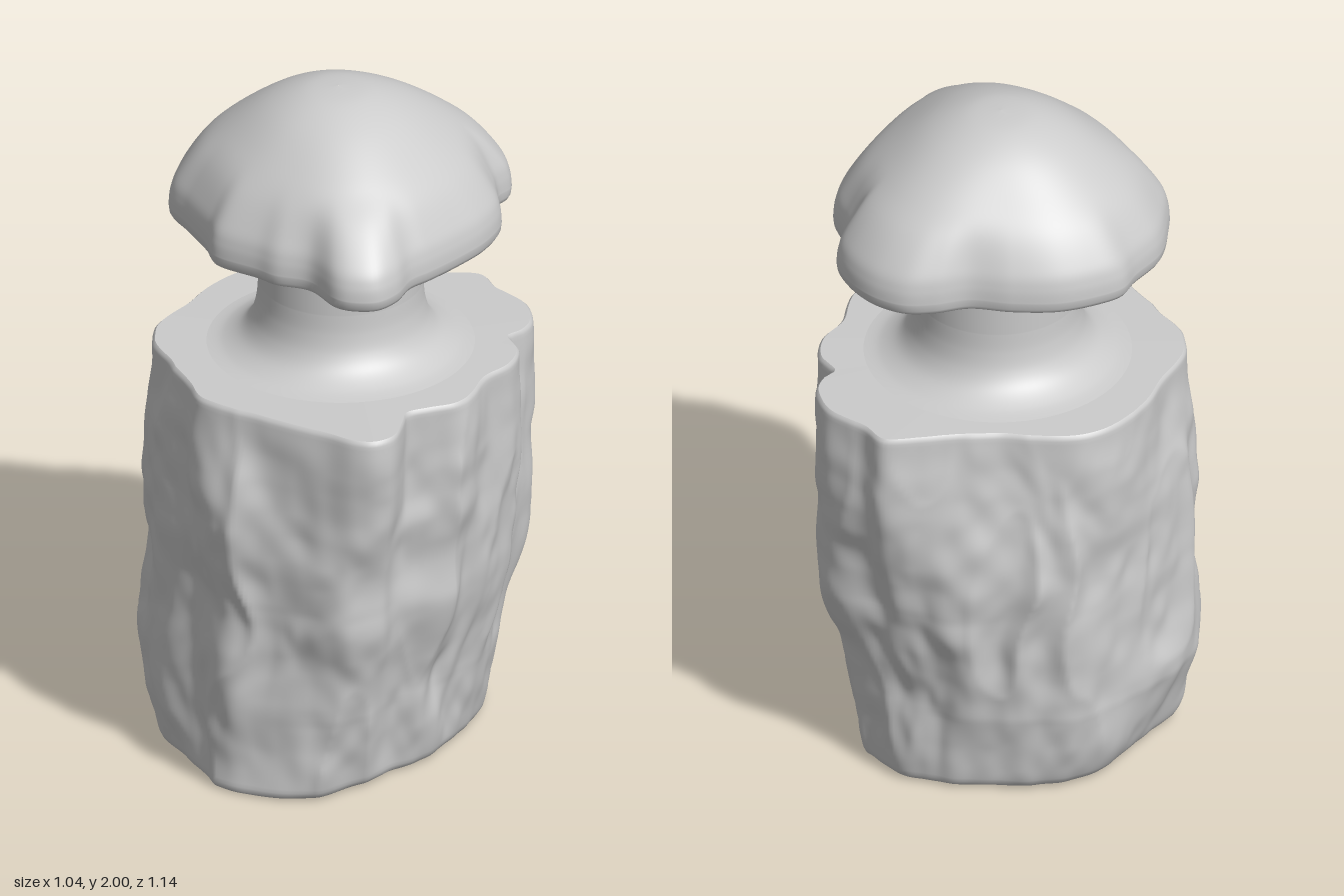
import * as THREE from 'three';

const N = 288; // points around every cross-section
const TAU = Math.PI * 2;
const material = new THREE.MeshStandardMaterial({ color: 0xcccccc });
const { lerp, smoothstep, clamp } = THREE.MathUtils;

// Turns a few x, z outline points into radii at N even angles
function outline(flat) {
  const pts = [];
  for (let i = 0; i < flat.length; i += 2) pts.push(new THREE.Vector3(flat[i], 0, flat[i + 1]));
  const polar = new THREE.CatmullRomCurve3(pts, true).getPoints(600)
    .map(p => ({ a: (Math.atan2(p.z, p.x) + TAU) % TAU, r: Math.hypot(p.x, p.z) }))
    .sort((p, q) => p.a - q.a);
  return Array.from({ length: N }, (_, j) => {
    const a = j / N * TAU;
    const k = polar.findIndex(p => p.a >= a);
    if (k < 1) return polar[0].r;
    const p = polar[k - 1], q = polar[k];
    return lerp(p.r, q.r, (a - p.a) / Math.max(q.a - p.a, 1e-6));
  });
}

// Rounds an outline off by averaging neighbours
const soften = (radii, reach) => radii.map((_, j) => {
  let sum = 0, weight = 0;
  for (let k = -reach; k <= reach; k++) {
    const w = 1 + Math.cos(Math.PI * k / (reach + 1));
    sum += w * radii[(j + k + N) % N];
    weight += w;
  }
  return sum / weight;
});

const capEdge = outline([
  .08, -.505, .155, -.49, .235, -.45, .285, -.4, .295, -.34, .335, -.295, .41, -.225, .45, -.12, .46, 0,
  .457, .12, .45, .19, .473, .27, .465, .345, .41, .397, .365, .41, .25, .39, .155, .43, .095, .435,
  -.05, .455, -.12, .415, -.25, .36, -.345, .32, -.41, .225, -.458, .11, -.458, -.015, -.465, -.09,
  -.43, -.165, -.36, -.255, -.25, -.33, -.14, -.38, -.07, -.45, 0, -.495]);
const capSoft = soften(capEdge, 34);
const bodyTop = outline([
  .03, -.555, .11, -.53, .23, -.515, .32, -.45, .34, -.39, .335, -.34, .41, -.3, .455, -.225, .46, -.105,
  .495, 0, .5, .06, .47, .13, .445, .195, .47, .24, .505, .32, .49, .38, .44, .415, .35, .43, .155, .48,
  -.04, .51, -.12, .47, -.25, .41, -.37, .36, -.435, .27, -.46, .13, -.48, .03, -.48, -.1,
  -.45, -.195, -.39, -.27, -.22, -.36, -.13, -.42, -.06, -.49]);
const bodyMid = outline([
  .02, -.54, .11, -.52, .23, -.49, .31, -.43, .33, -.36, .4, -.29, .44, -.2, .45, -.1, .475, 0, .47, .08,
  .43, .16, .41, .22, .44, .3, .43, .37, .36, .44, .22, .48, .06, .545, -.03, .525, -.13, .48, -.29, .44,
  -.4, .35, -.48, .25, -.505, .14, -.485, .02, -.48, -.1, -.46, -.2, -.41, -.31, -.29, -.385, -.17, -.465, -.08, -.51]);
const bodyLow = outline([
  0, -.47, .2, -.41, .28, -.36, .33, -.27, .37, -.1, .39, .05, .365, .16, .37, .3, .3, .42, .07, .535, -.1, .49,
  -.3, .43, -.42, .34, -.5, .24, -.51, .13, -.49, 0, -.45, -.18, -.38, -.3, -.2, -.41]);
const bodyFoot = outline([
  0, -.43, .2, -.38, .29, -.2, .33, 0, .32, .2, .26, .41, .07, .535, -.12, .47, -.3, .39, -.4, .2,
  -.39, 0, -.36, -.18, -.22, -.32]);

// Smooth value noise that repeats around the angle
const hash = (x, y) => { const s = Math.sin(x * 127.1 + y * 311.7 + 4.3) * 43758.5453; return s - Math.floor(s); };
function noise(turn, y, cells) {
  const u = turn * cells, i = Math.floor(u), k = Math.floor(y);
  const f = smoothstep(u - i, 0, 1), g = smoothstep(y - k, 0, 1);
  const at = (a, b) => hash(((a % cells) + cells) % cells, b + cells);
  return lerp(lerp(at(i, k), at(i + 1, k), f), lerp(at(i, k + 1), at(i + 1, k + 1), f), g) * 2 - 1;
}

// Long wandering bark ridges plus smaller lumps
function bark(turn, y) {
  const t = turn + .014 * noise(turn, y * 4, 14);
  const ridge = .6 - 2 * Math.abs(noise(t, y * 1.6 + 7, 26));
  return .016 * noise(t, y * 3.4, 13) + .014 * ridge + .01 * noise(t, y * 7, 38) + .005 * noise(t, y * 13 + 3, 60);
}

// Joins closed rows of [x, y, z] points, from bottom to top
function loft(name, rows) {
  const index = [];
  for (let i = 0; i < rows.length - 1; i++) for (let j = 0; j < N; j++) {
    const a = i * N + j, b = i * N + (j + 1) % N;
    index.push(a, a + N, b, b, a + N, b + N);
  }
  const geo = new THREE.BufferGeometry();
  geo.setAttribute('position', new THREE.Float32BufferAttribute(rows.flat(2), 3));
  geo.setIndex(index);
  geo.computeVertexNormals();
  const mesh = new THREE.Mesh(geo, material);
  mesh.name = name;
  return mesh;
}

// One row: radius and height as rules of the point number
const row = (radius, height, cx = 0) => Array.from({ length: N }, (_, j) => {
  const a = j / N * TAU, r = radius(j);
  return [cx + Math.cos(a) * r, height(j), Math.sin(a) * r];
});
const fixed = value => () => value;

function bodyRadius(j, y) {
  const s = Math.sin(j / N * TAU);
  const foot = lerp(bodyFoot[j], bodyLow[j], Math.sqrt(clamp(y / .26, 0, 1)));
  const middle = lerp(foot, bodyMid[j], smoothstep(y, .24, .6));
  const base = lerp(middle, bodyTop[j], smoothstep(y, .65, 1.1));
  const bulge = .025 * s * s * Math.sin(Math.PI * clamp((y - .6) / .65, 0, 1));
  const fade = smoothstep(y, -.1, .15) * lerp(1, .25, smoothstep(y, .98, 1.2));
  return base + bulge + bark(j / N, y) * fade;
}

function lathe(name, points) {
  const mesh = new THREE.Mesh(new THREE.LatheGeometry(points.map(p => new THREE.Vector2(...p)), 72), material);
  mesh.name = name;
  mesh.position.x = .01;
  return mesh;
}
const smooth = points => new THREE.SplineCurve(points.map(p => new THREE.Vector2(...p))).getPoints(48);

export function createModel() {
  const model = new THREE.Group();
  model.name = 'bottle';

  // Bark-covered body with rounded foot and rim
  const bodyRows = [];
  const addBody = (inset, y) => bodyRows.push(row(j => bodyRadius(j, y) - inset, fixed(y)));
  for (const [inset, y] of [[.025, 0], [.01, .004], [.003, .012]]) addBody(inset, y);
  for (let i = 0; i <= 100; i++) addBody(0, lerp(.025, 1.185, i / 100));
  for (const [inset, y] of [[.002, 1.194], [.008, 1.2]]) addBody(inset, y);
  model.add(loft('barkBody', bodyRows));

  // Underside with a shallow round recess
  model.add(loft('bodyBase', [
    ...[[.001, .01], [.13, .01], [.15, .009], [.18, .001], [.2, 0]].map(([r, y]) => row(fixed(r), fixed(y), -.02)),
    row(j => bodyRadius(j, 0) - .025, fixed(0))]));

  // Flat shoulder
  model.add(loft('shoulder', [
    row(j => bodyRadius(j, 1.2) - .008, fixed(1.2)), row(fixed(.37), fixed(1.202), .01)]));

  // Neck with a flared root
  const flare = smooth([[.385, 1.2], [.33, 1.212], [.28, 1.242], [.25, 1.285], [.235, 1.34], [.23, 1.4]]);
  model.add(lathe('neck', [...flare.map(p => [p.x, p.y]), [.23, 1.54]]));
  model.add(lathe('neckMouth', [[.23, 1.54], [.2, 1.54]]));

  // Stopper plug and the collar under the cap
  for (const [name, pts] of [
    ['plug', [[.2, 1.5], [.2, 1.565]]],
    ['collarGroove', [[.2, 1.565], [.27, 1.565], [.275, 1.555]]],
    ['collarFace', [[.275, 1.555], [.305, 1.555], [.31, 1.558]]],
    ['collarSide', [[.31, 1.558], [.32, 1.575], [.32, 1.6]]]]) model.add(lathe(name, pts));

  // Domed cap: wavy at the edge, rounder towards the crown
  const crown = smooth([[1, 1.622], [.99, 1.665], [.95, 1.715], [.82, 1.803], [.63, 1.882], [.42, 1.95], [.21, 1.99], [.001, 2]]);
  const capRadius = (j, s) => s * lerp(lerp(.46, capSoft[j], smoothstep(s, .1, .7)), capEdge[j], smoothstep(s, .7, 1.02));
  const droop = j => .06 * (.46 - capEdge[j]);
  const capRows = [[.955, 1.586], [.98, 1.591], [.995, 1.603]].map(([s, y]) => row(j => capRadius(j, s), j => y + droop(j)));
  for (const p of crown) capRows.push(row(j => capRadius(j, p.x), j => p.y + droop(j) * smoothstep(p.x, .8, 1)));
  model.add(loft('capDome', capRows));
  model.add(loft('capUnderside', [row(fixed(.3), fixed(1.585), .01), row(j => capRadius(j, .955), j => 1.586 + droop(j))]));

  return model;
}
